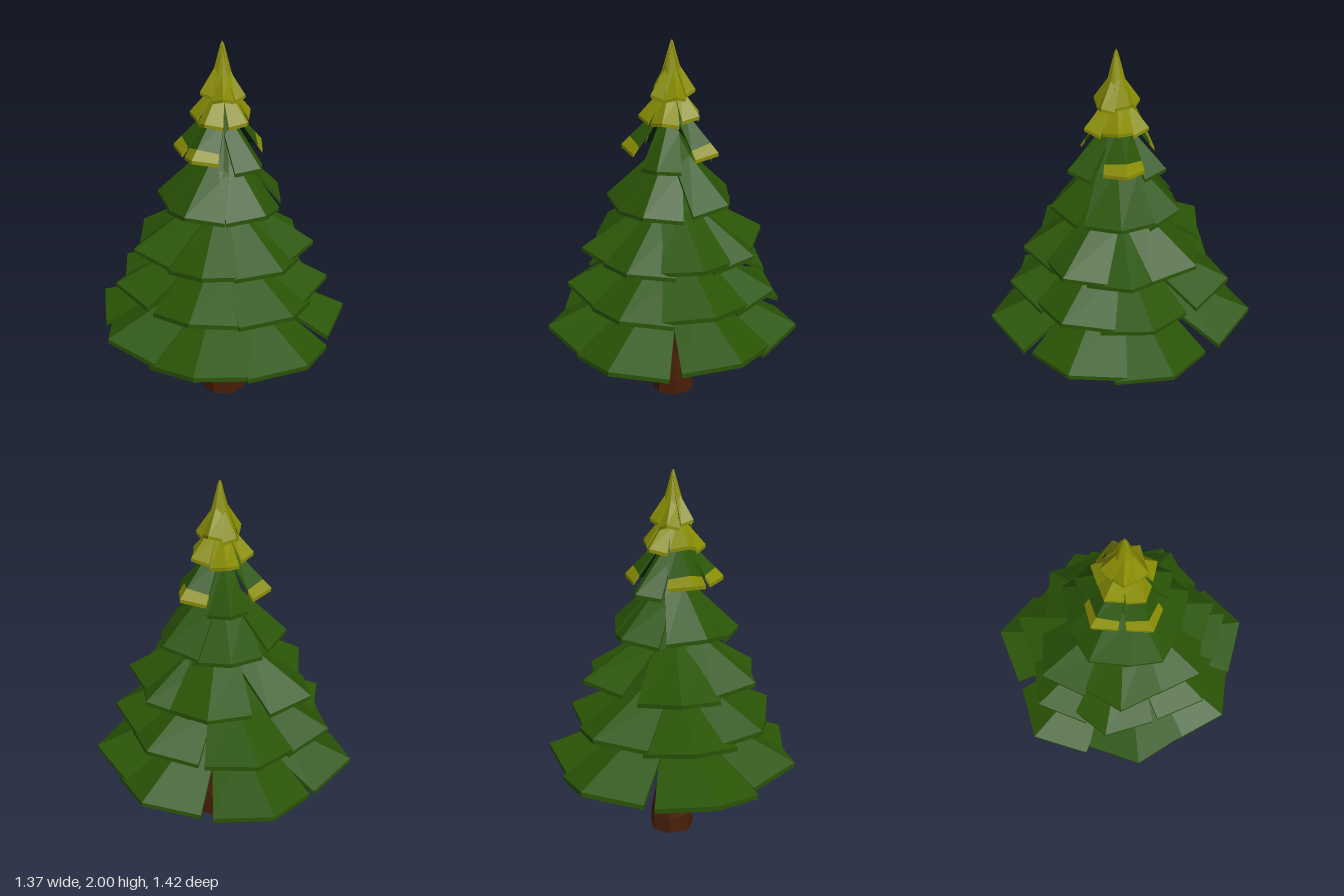
import * as THREE from 'three';

const material = (name, color) => {
  const m = new THREE.MeshStandardMaterial({ color, flatShading: true });
  m.name = name;
  return m;
};

// Folded plate lofted along +z; each section is [ridge r, ridge y, corner r, corner y, half width].
// Group 0 holds the top and rim, group 1 the underside.
function boughGeometry(sections, thick) {
  const rings = sections.map(([r, y, cr, cy, w]) => {
    const top = [[-w, cy, cr], [0, y, r], [w, cy, cr]];
    const under = top.map(([a, b, c]) => [a, b - thick, c]).reverse();
    return [...top, ...under];
  });
  const outside = [], underside = [];
  const quad = (list, a, b, c, d) => list.push(...a, ...b, ...c, ...a, ...c, ...d);
  for (let k = 0; k < rings.length - 1; k++) {
    const A = rings[k], B = rings[k + 1];
    for (let j = 0; j < 6; j++) {
      const n = (j + 1) % 6;
      quad(j === 3 || j === 4 ? underside : outside, A[n], A[j], B[j], B[n]);
    }
  }
  // End caps
  const I = rings[0], O = rings[rings.length - 1];
  quad(outside, O[0], O[5], O[4], O[1]);
  quad(outside, O[1], O[4], O[3], O[2]);
  quad(underside, I[1], I[4], I[5], I[0]);
  quad(underside, I[2], I[3], I[4], I[1]);
  const g = new THREE.BufferGeometry();
  g.setAttribute('position', new THREE.Float32BufferAttribute([...outside, ...underside], 3));
  g.addGroup(0, outside.length / 3, 0);
  g.addGroup(outside.length / 3, underside.length / 3, 1);
  g.computeVertexNormals();
  return g;
}

// Per tier: height at the stem, middle [radius, height], tip [radius, height, half width],
// and the direction of each bough in degrees
const TIERS = [
  { stem: 0.84, mid: [0.30, 0.66], tip: [0.70, 0.495, 0.27], angles: [0, 57, 103, 159, 212, 263, 311] },
  { stem: 1.10, mid: [0.24, 0.88], tip: [0.58, 0.72, 0.24], angles: [0, 49, 97, 156, 206, 246, 306] },
  { stem: 1.35, mid: [0.17, 1.14], tip: [0.495, 0.94, 0.21], angles: [0, 45, 87, 131, 200, 254, 311] },
  { stem: 1.58, mid: [0.11, 1.41], tip: [0.35, 1.185, 0.18], angles: [2, 82, 147, 225, 290] },
  { stem: 1.78, mid: [0.08, 1.63], tip: [0.265, 1.44, 0.105], angles: [90, 218, 288, 10, 150] },
  { stem: 1.84, mid: [0.06, 1.75], tip: [0.17, 1.625, 0.075], angles: [10, 82, 150, 222, 292] },
  { stem: 2.00, mid: [0.042, 1.86], tip: [0.12, 1.745, 0.055], angles: [40, 110, 180, 255, 325] },
];

export function createModel() {
  const tree = new THREE.Group();
  tree.name = 'pineTree';
  const bark = material('bark brown', 0x471d08);
  const green = material('needle green', 0x2a5406);
  const shade = material('inner dark green', 0x0b2412);
  const lime = material('new growth yellow green', 0x8a8e04);

  const add = (parent, name, geometry, mat) => {
    const mesh = new THREE.Mesh(geometry, mat);
    mesh.name = name;
    parent.add(mesh);
    return mesh;
  };

  // Seven-sided trunk with a flared foot
  const profile = [[0, 0], [0.125, 0], [0.12, 0.09], [0.088, 0.24], [0.07, 0.45], [0.058, 0.6], [0, 0.6]];
  const trunk = add(tree, 'trunk', new THREE.LatheGeometry(profile.map(p => new THREE.Vector2(...p)), 7), bark);
  trunk.rotation.y = 0.2 + Math.PI;
  trunk.position.x = 0.01;

  // Dark inner foliage behind the gaps between boughs
  const core = add(tree, 'innerFoliage', new THREE.ConeGeometry(0.1, 0.9, 6), shade);
  core.position.y = 1.3;

  // Tiers of drooping boughs
  TIERS.forEach(({ stem, mid: [mr, my], tip: [tr, ty, tw], angles }, i) => {
    const tier = new THREE.Group();
    tier.name = `boughTier${i + 1}`;
    tree.add(tier);
    const thick = 0.025 - i * 0.0015;
    const drop = i < 4 ? 0.05 - i * 0.008 : 0.02;
    const fold = drop + (my - ty) * 0.22;
    const cornerRatio = 0.8 - i * 0.025;
    angles.forEach((degrees, n) => {
      const angle = THREE.MathUtils.degToRad(degrees);
      // Front and back boughs reach farther; neighbours alternate in height
      const reach = i < 3 ? 1.02 - 0.035 * Math.cos(angle) + 0.035 * Math.cos(2 * angle) : 1;
      const tipped = i === 4 && n < 3;
      const lift = i === 4 ? (tipped ? 0.01 : -0.045) : n % 2 ? 0.01 : -0.01;
      const inner = [0.004, stem, 0.004, stem - fold * 0.4, 0.01 + tw * 0.12 * (i < 6)];
      const mid = [mr * reach, my + lift, mr * reach * 0.9, my + lift - fold * 0.6, tw * 0.58];
      const tip = [tr * reach, ty + lift, tr * reach * cornerRatio, ty + lift - drop, tw];
      const bough = new THREE.Group();
      bough.name = 'bough';
      bough.rotation.y = angle;
      tier.add(bough);
      if (tipped) {
        // Green bough ending in a band of new growth
        const band = mid.map((v, k) => v + (tip[k] - v) * 0.76);
        add(bough, 'boughNeedles', boughGeometry([inner, mid, band], thick), [green, shade]);
        add(bough, 'boughTip', boughGeometry([band, tip], thick), [lime, shade]);
      } else if (i === 5) {
        // New growth from the middle outward
        add(bough, 'boughNeedles', boughGeometry([inner, mid], thick), [green, shade]);
        add(bough, 'boughTip', boughGeometry([mid, tip], thick), [lime, lime]);
      } else {
        const mats = i === 6 ? [lime, lime] : [green, shade];
        add(bough, 'boughNeedles', boughGeometry([inner, mid, tip], thick), mats);
      }
    });
  });
  return tree;
}
